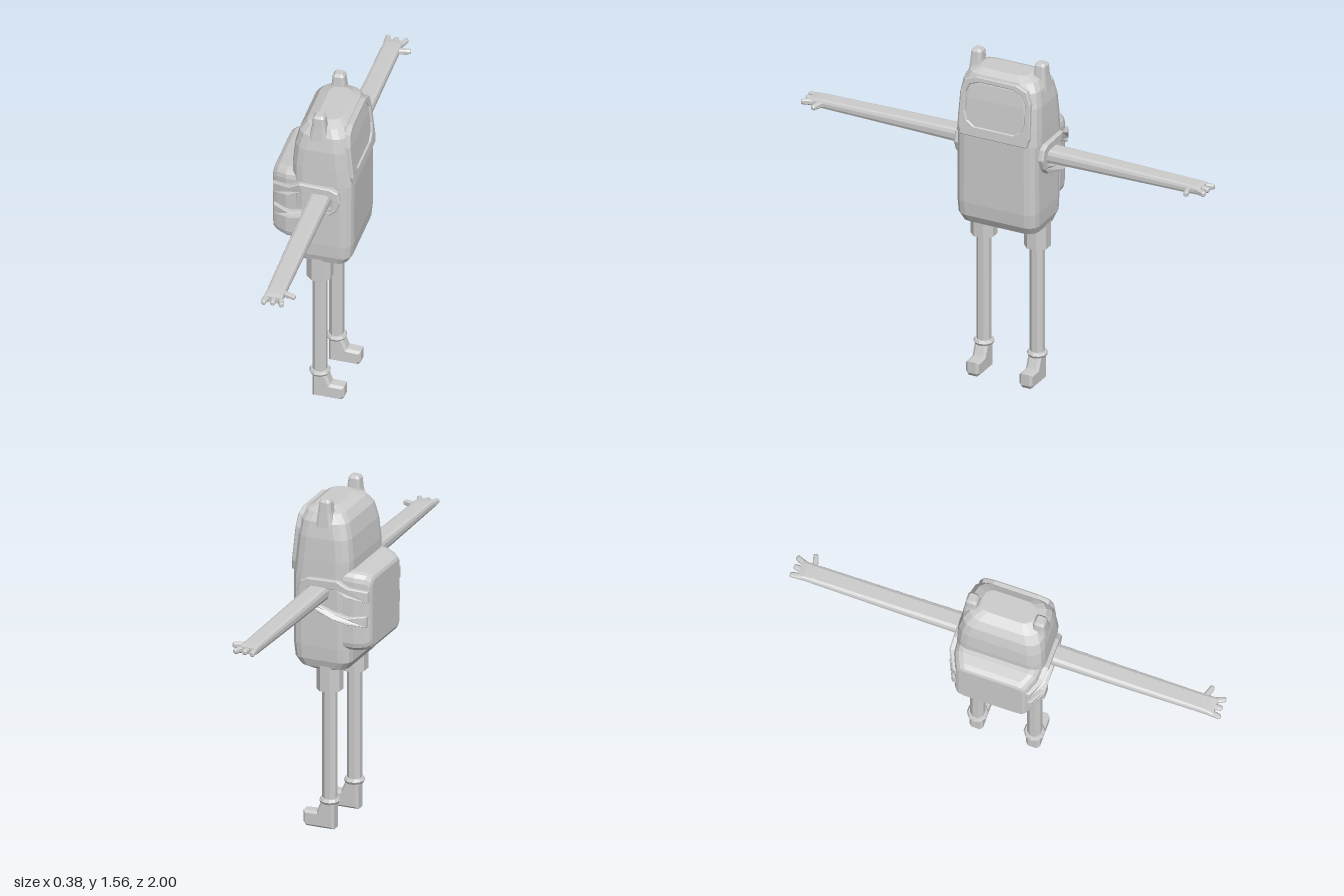
import * as THREE from 'three';

const grey = new THREE.MeshStandardMaterial({ color: 0xcccccc, flatShading: true });
grey.name = 'plain grey';

// Rounded rectangle ring at height y
function ring(y, x0, x1, hz, r, seg = 3) {
  const pts = [];
  const cx = [x1 - r, x0 + r, x0 + r, x1 - r], cz = [hz - r, hz - r, r - hz, r - hz];
  for (let c = 0; c < 4; c++) {
    for (let i = 0; i <= seg; i++) {
      const a = (c + i / seg) * Math.PI / 2;
      pts.push(new THREE.Vector3(cx[c] + r * Math.cos(a), y, cz[c] + r * Math.sin(a)));
    }
  }
  return pts;
}

// Closed skin through a stack of rings
function loft(rings) {
  const n = rings[0].length, pos = [], idx = [];
  rings.forEach(rg => rg.forEach(p => pos.push(p.x, p.y, p.z)));
  for (let k = 0; k < rings.length - 1; k++) {
    for (let j = 0; j < n; j++) {
      const a = k * n + j, b = k * n + (j + 1) % n;
      idx.push(a, a + n, b, b, a + n, b + n);
    }
  }
  const top = (rings.length - 1) * n;
  for (let j = 1; j < n - 1; j++) idx.push(0, j, j + 1, top, top + j + 1, top + j);
  const g = new THREE.BufferGeometry();
  g.setAttribute('position', new THREE.Float32BufferAttribute(pos, 3));
  g.setIndex(idx);
  g.computeVertexNormals();
  return g;
}

function add(parent, name, geometry, x = 0, y = 0, z = 0) {
  const m = new THREE.Mesh(geometry, grey);
  m.name = name;
  m.position.set(x, y, z);
  parent.add(m);
  return m;
}

const outline = pts => new THREE.Shape(pts.map(p => new THREE.Vector2(p[0], p[1])));

function makeArm(side) {
  const arm = new THREE.Group();
  arm.name = side > 0 ? 'rightArm' : 'leftArm';
  // Sleeve, built upright and then swung outwards
  add(arm, 'sleeve', loft([
    ring(0.17, -0.005, 0.09, 0.033, 0.02, 2),
    ring(0.5, -0.004, 0.087, 0.028, 0.018, 2),
    ring(0.9, 0, 0.085, 0.021, 0.014, 2),
    ring(0.94, 0, 0.085, 0.019, 0.012, 2),
    ring(0.965, -0.003, 0.088, 0.015, 0.01, 2)
  ]));
  // Fingers and thumb
  const fingers = [[0.013, 0.955, 0.006, 1.0], [0.045, 0.955, 0.048, 0.995],
    [0.073, 0.95, 0.093, 0.997], [0.07, 0.905, 0.132, 0.923]];
  fingers.forEach(([x0, y0, x1, y1], i) => {
    const len = Math.hypot(x1 - x0, y1 - y0);
    const f = add(arm, i === 3 ? 'thumb' : 'finger', loft([
      ring(-len / 2, -0.013, 0.013, 0.014, 0.006, 1),
      ring(len / 2 - 0.006, -0.011, 0.011, 0.012, 0.006, 1),
      ring(len / 2, -0.007, 0.007, 0.008, 0.004, 1)
    ]), (x0 + x1) / 2, (y0 + y1) / 2);
    f.rotation.z = -Math.atan2(x1 - x0, y1 - y0);
  });
  arm.position.y = 1.13;
  arm.rotation.x = side * Math.PI / 2;
  return arm;
}

function makeLeg(side) {
  const leg = new THREE.Group();
  leg.name = side > 0 ? 'rightLeg' : 'leftLeg';
  leg.position.z = 0.132 * side;
  add(leg, 'trouserCuff', new THREE.CylinderGeometry(0.06, 0.06, 0.16, 8).rotateY(Math.PI / 8), 0.019, 0.735);
  add(leg, 'shin', new THREE.CylinderGeometry(0.034, 0.034, 0.58, 8).rotateY(Math.PI / 8), 0.019, 0.4);
  add(leg, 'ankleRing', new THREE.TorusGeometry(0.034, 0.014, 6, 10).rotateX(Math.PI / 2), 0.019, 0.13);
  // Boot with a bevelled L-shaped side profile
  const boot = outline([[0.0, 0.01], [0.118, 0.01], [0.126, 0.02], [0.126, 0.062],
    [0.066, 0.064], [0.044, 0.12], [0.0, 0.12]]);
  add(leg, 'boot', new THREE.ExtrudeGeometry(boot, {
    depth: 0.04, bevelThickness: 0.012, bevelSize: 0.01, bevelSegments: 1
  }).translate(0, 0, -0.02));
  return leg;
}

function makeStrap(side) {
  // Loop that leaves the pack, passes round the arm and returns lower down
  const shape = outline([[-0.18, 1.15], [-0.1, 1.17], [-0.05, 1.195], [0.09, 1.19], [0.12, 1.175],
    [0.132, 1.13], [0.115, 1.085], [0.085, 1.055], [-0.03, 1.02], [-0.1, 1.005], [-0.175, 0.99],
    [-0.175, 1.035], [-0.1, 1.03], [-0.03, 1.045], [0.07, 1.08], [0.095, 1.1], [0.102, 1.13],
    [0.09, 1.155], [0.07, 1.163], [-0.04, 1.16], [-0.1, 1.13], [-0.18, 1.105]]);
  const g = new THREE.ExtrudeGeometry(shape, {
    depth: 0.025, bevelThickness: 0.006, bevelSize: 0.004, bevelSegments: 1
  }).translate(0, 0, 0.19);
  // Bend the rear ends in to follow the tapering pack
  const p = g.attributes.position;
  for (let i = 0; i < p.count; i++) {
    p.setZ(i, p.getZ(i) - Math.max(0, -0.1 - p.getX(i)) * 0.5);
  }
  g.computeVertexNormals();
  const m = new THREE.Mesh(g, grey);
  m.name = side > 0 ? 'rightStrap' : 'leftStrap';
  m.scale.z = side;
  return m;
}

export function createModel() {
  const model = new THREE.Group();
  model.name = 'figure';

  // Lower suit
  add(model, 'suit', loft([
    ring(0.752, -0.03, 0.12, 0.165, 0.05),
    ring(0.768, -0.075, 0.153, 0.185, 0.05),
    ring(0.805, -0.097, 0.173, 0.196, 0.05),
    ring(0.87, -0.098, 0.179, 0.199, 0.05),
    ring(1.215, -0.093, 0.18, 0.197, 0.05)
  ]));

  // Hood
  add(model, 'hood', loft([
    ring(1.2, -0.1, 0.18, 0.205, 0.06),
    ring(1.28, -0.1, 0.172, 0.203, 0.06),
    ring(1.38, -0.09, 0.163, 0.198, 0.06),
    ring(1.45, -0.073, 0.152, 0.186, 0.06),
    ring(1.488, -0.045, 0.136, 0.165, 0.06),
    ring(1.508, 0.0, 0.105, 0.12, 0.04)
  ]));

  // Raised frame around the face opening, leaning back with the hood
  const frame = outline([[-0.16, 0], [0.16, 0], [0.172, 0.04], [0.168, 0.2], [0.15, 0.255],
    [0.1, 0.275], [-0.1, 0.275], [-0.15, 0.255], [-0.168, 0.2], [-0.172, 0.04]]);
  frame.holes.push(outline([[-0.1, 0.04], [-0.137, 0.065], [-0.152, 0.11], [-0.15, 0.2],
    [-0.132, 0.24], [-0.08, 0.258], [0.08, 0.258], [0.132, 0.24], [0.15, 0.2],
    [0.152, 0.11], [0.137, 0.065], [0.1, 0.04]]));
  const frameGeo = new THREE.ExtrudeGeometry(frame, {
    depth: 0.02, bevelThickness: 0.005, bevelSize: 0.004, bevelSegments: 1
  });
  frameGeo.rotateY(Math.PI / 2).rotateZ(0.1);
  add(model, 'faceFrame', frameGeo, 0.163, 1.205);

  // Stubby ears, pack, straps and limbs
  for (const side of [1, -1]) {
    add(model, 'ear', loft([
      ring(1.43, -0.02, 0.068, 0.036, 0.018, 2),
      ring(1.5, -0.006, 0.058, 0.029, 0.014, 2),
      ring(1.545, -0.002, 0.052, 0.026, 0.012, 2),
      ring(1.557, 0.008, 0.043, 0.017, 0.008, 2)
    ]), 0, 0, 0.157 * side);
    model.add(makeStrap(side), makeArm(side), makeLeg(side));
  }

  add(model, 'backpack', loft([
    ring(0.07, 0.868, 1.24, 0.197, 0.04),
    ring(0.12, 0.866, 1.235, 0.192, 0.04),
    ring(0.165, 0.868, 1.226, 0.172, 0.04),
    ring(0.185, 0.878, 1.212, 0.16, 0.04),
    ring(0.191, 0.892, 1.198, 0.147, 0.035)
  ]).rotateZ(Math.PI / 2));

  return model;
}
